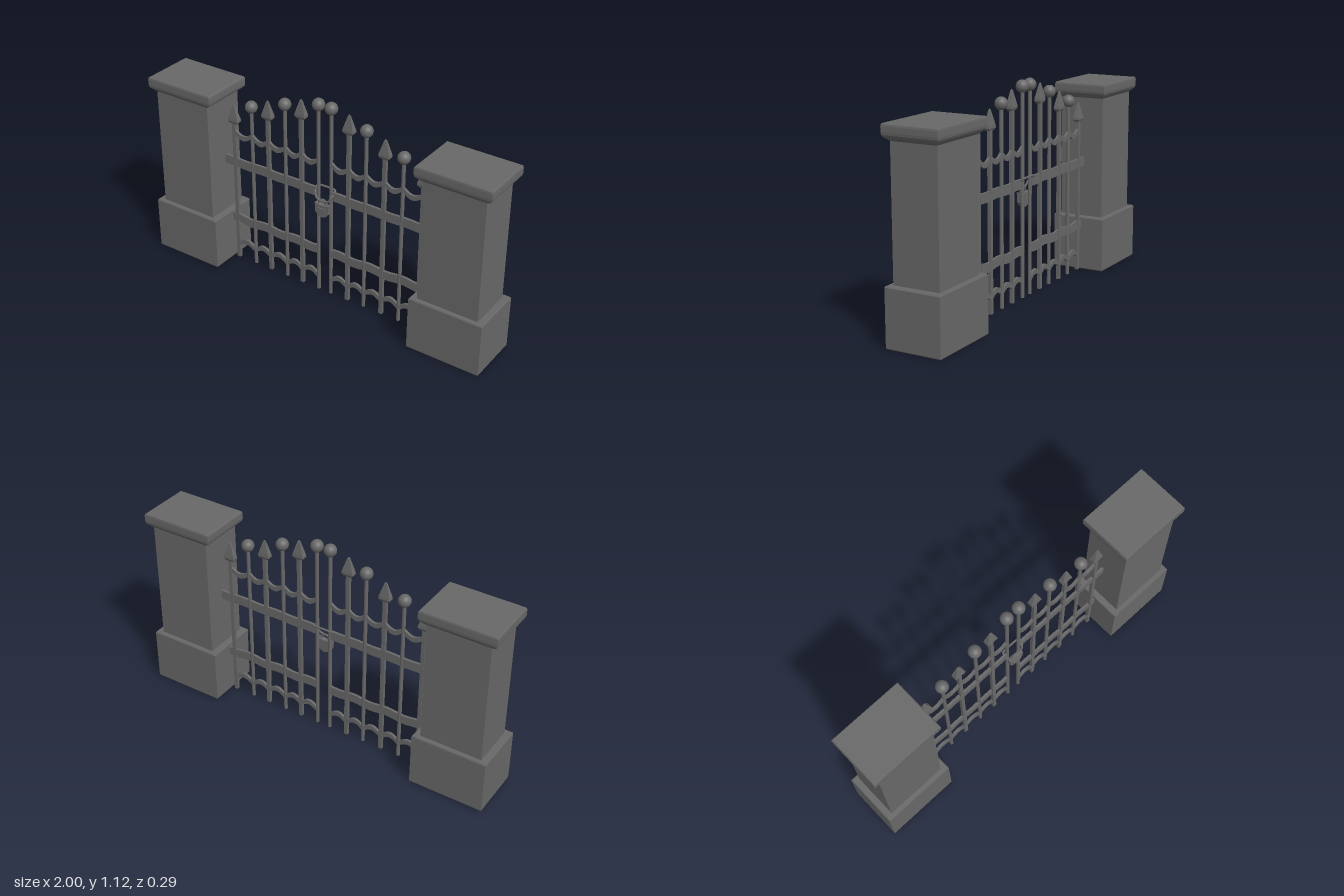
import * as THREE from 'three';

const iron = new THREE.MeshStandardMaterial({ color: 0x686868 });
iron.name = 'dark grey';
const GATE_Z = -0.01;

function add(parent, name, geometry, x = 0, y = 0, z = 0) {
  const mesh = new THREE.Mesh(geometry, iron);
  mesh.name = name;
  mesh.position.set(x, y, z);
  parent.add(mesh);
  return mesh;
}

// Faceted rectangular solid from a [scale, height] profile and half sizes
function squareLathe(profile, halfX, halfZ) {
  const points = profile.map(([r, y]) => new THREE.Vector2(r * Math.SQRT2, y));
  let geometry = new THREE.LatheGeometry(points, 4, Math.PI / 4);
  geometry.scale(halfX, 1, halfZ);
  geometry = geometry.toNonIndexed();
  geometry.computeVertexNormals();
  return geometry;
}

// Flat iron strip following a centre line y = f(x)
function strip(x0, x1, f, width, depth, steps) {
  const shape = new THREE.Shape();
  for (let i = 0; i <= steps; i++) {
    const t = i / steps, x = x0 + (x1 - x0) * t;
    if (i === 0) shape.moveTo(x, f(t) - width / 2);
    else shape.lineTo(x, f(t) - width / 2);
  }
  for (let i = steps; i >= 0; i--) {
    const t = i / steps;
    shape.lineTo(x0 + (x1 - x0) * t, f(t) + width / 2);
  }
  const geometry = new THREE.ExtrudeGeometry(shape, { depth, bevelEnabled: false });
  geometry.translate(0, 0, -depth / 2);
  return geometry;
}

function pillar(side) {
  const group = new THREE.Group();
  group.name = side > 0 ? 'leftPillar' : 'rightPillar';
  group.position.x = side * 0.799;
  add(group, 'pillarBase', squareLathe(
    [[0, 0], [0.985, 0], [1, 0.005], [1, 0.288], [0.98, 0.294], [0, 0.294]], 0.201, 0.147));
  add(group, 'pillarShaft', squareLathe([[1, 0.28], [1, 0.96]], 0.166, 0.123));
  add(group, 'pillarCap', squareLathe(
    [[0.82, 0.945], [0.87, 0.952], [0.96, 0.966], [0.99, 0.975], [1, 0.987],
      [1, 1.014], [0.99, 1.023], [0.97, 1.027], [0, 1.027]], 0.201, 0.147));
  return group;
}

// Bars from the middle outwards: x, finial height (ball centre or spear base), type
const BARS = [
  [0.038, 1.086, 'ball'], [0.142, 0.98, 'spear'], [0.242, 1.027, 'ball'],
  [0.349, 0.912, 'spear'], [0.453, 0.95, 'ball'], [0.567, 0.826, 'spear'],
];

function gateLeaf(side) {
  const leaf = new THREE.Group();
  leaf.name = side > 0 ? 'leftGateLeaf' : 'rightGateLeaf';
  leaf.position.z = GATE_Z;

  for (const [bx, top, type] of BARS) {
    const x = side * bx, height = top - 0.005;
    if (type === 'ball') {
      add(leaf, 'roundBar', new THREE.CylinderGeometry(0.01, 0.01, height, 10), x, 0.005 + height / 2);
      add(leaf, 'ballFinial', new THREE.SphereGeometry(0.033, 20, 14), x, top);
    } else {
      add(leaf, 'flatBar', new THREE.BoxGeometry(0.02, height, 0.018), x, 0.005 + height / 2);
      add(leaf, 'spearFinial', squareLathe(
        [[0, 0], [0.7, 0], [1, 0.012], [0.95, 0.025], [0.22, 0.097], [0, 0.106]], 0.031, 0.016), x, top);
    }
  }

  // Hanging scallops above, arches below
  for (let i = 0; i < BARS.length - 1; i++) {
    const a = side * BARS[i][0], b = side * BARS[i + 1][0];
    const x0 = Math.min(a, b), x1 = Math.max(a, b);
    const bow = (t) => Math.sin(Math.PI * t);
    add(leaf, 'upperScallop', strip(x0, x1, (t) => 0.782 - 0.03 * bow(t), 0.026, 0.014, 12));
    add(leaf, 'lowerArch', strip(x0, x1, (t) => 0.083 + 0.03 * bow(t), 0.026, 0.014, 12));
  }

  // Hand-forged cross rails with a slight waver
  for (const [name, y, outer, width, wave] of [
    ['upperRail', 0.597, 0.636, 0.05, 0.002], ['lowerRail', 0.252, 0.62, 0.048, 0.005]]) {
    const x0 = side > 0 ? 0.034 : -outer, x1 = side > 0 ? outer : -0.034;
    add(leaf, name, strip(x0, x1, (t) => y + wave * Math.sin(t * 19), width, 0.014, 24));
  }
  return leaf;
}

function padlock() {
  const group = new THREE.Group();
  group.name = 'padlock';

  // Wire loop round the two middle bars
  const loop = [[-0.05, 0.626, -0.026], [0.05, 0.626, -0.026], [0.05, 0.598, 0.004],
    [0.035, 0.572, 0.012], [0, 0.562, 0.014], [-0.035, 0.572, 0.012], [-0.05, 0.598, 0.004]]
    .map((p) => new THREE.Vector3(...p));
  const curve = new THREE.CatmullRomCurve3(loop, true, 'catmullrom', 0.3);
  add(group, 'wireLoop', new THREE.TubeGeometry(curve, 56, 0.006, 6, true));

  // Shackle
  add(group, 'shackle', new THREE.TorusGeometry(0.024, 0.006, 6, 16, Math.PI), 0, 0.546, 0.008);

  // Shield-shaped body with a raised plate
  const outline = [[-0.042, 0.548], [-0.04, 0.498], [-0.022, 0.478], [0, 0.47],
    [0.022, 0.478], [0.04, 0.498], [0.042, 0.548], [0, 0.54]];
  const shape = new THREE.Shape(outline.map(([x, y]) => new THREE.Vector2(x, y)));
  const body = new THREE.ExtrudeGeometry(shape, { depth: 0.026, bevelEnabled: false });
  add(group, 'lockBody', body, 0, 0, -0.006);
  add(group, 'lockPlate', new THREE.BoxGeometry(0.05, 0.03, 0.006), 0, 0.51, 0.022);
  return group;
}

export function createModel() {
  const model = new THREE.Group();
  model.name = 'gate';
  for (const side of [-1, 1]) model.add(pillar(side), gateLeaf(side));
  model.add(padlock());
  return model;
}
